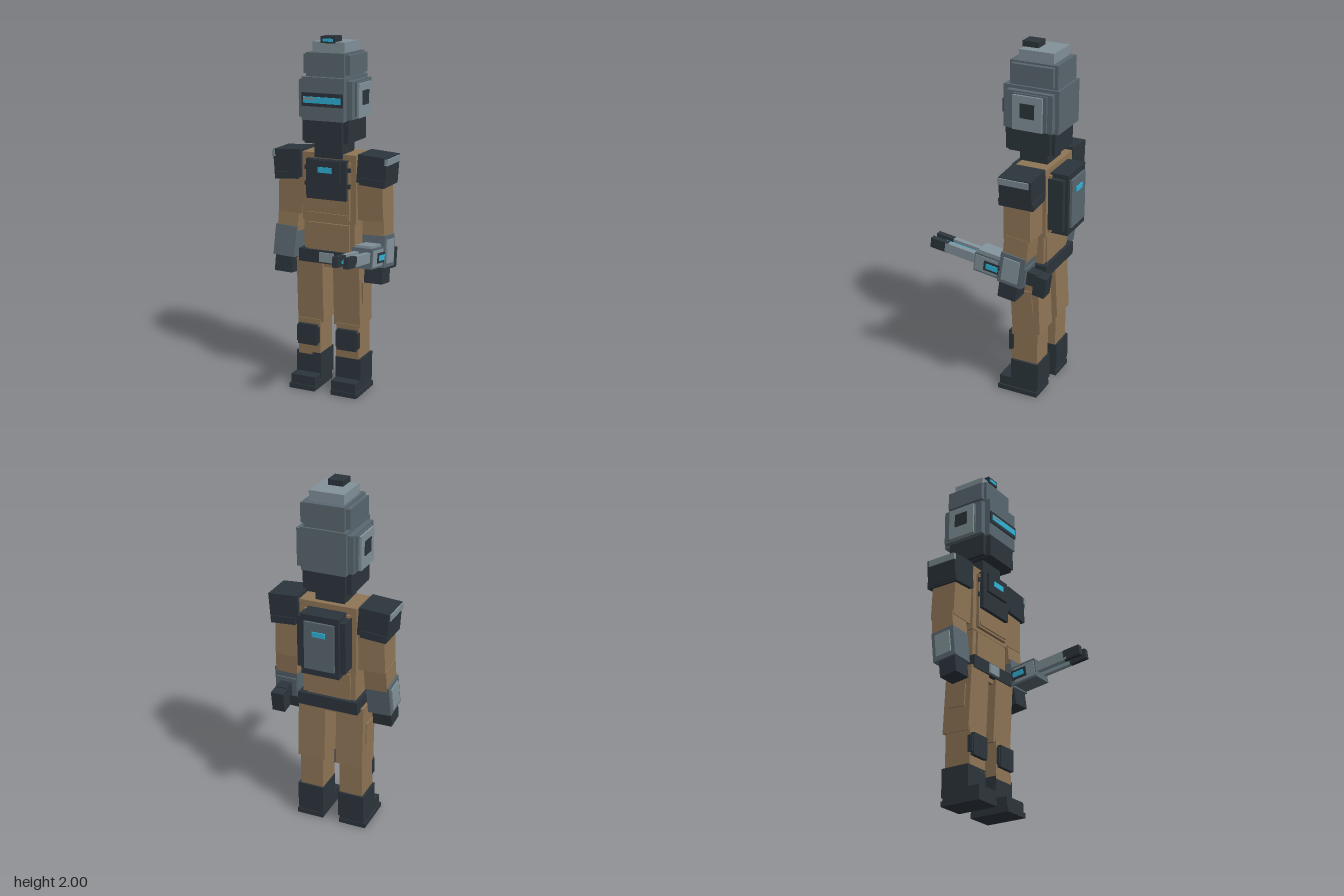
import * as THREE from 'three';

const mat = (name, color) => {
  const m = new THREE.MeshStandardMaterial({ color });
  m.name = name;
  return m;
};

export function createModel() {
  const cloth = mat('brown cloth', 0x8f7556);
  const dark = mat('dark armour', 0x2c353c);
  const grey = mat('grey armour', 0x59676f);
  const light = mat('light metal', 0x82929a);
  const glow = mat('cyan glow', 0x2fb4d8);

  const model = new THREE.Group();
  model.name = 'armouredSoldier';
  const group = (name, parent = model) => {
    const g = new THREE.Group();
    g.name = name;
    parent.add(g);
    return g;
  };
  // Box from its limits, with optional tilt about its own centre
  const box = (parent, name, m, [x0, x1], [y0, y1], [z0, z1], rx = 0, rz = 0) => {
    const mesh = new THREE.Mesh(new THREE.BoxGeometry(Math.abs(x1 - x0), y1 - y0, z1 - z0), m);
    mesh.position.set((x0 + x1) / 2, (y0 + y1) / 2, (z0 + z1) / 2);
    mesh.rotation.set(rx, 0, rz);
    mesh.name = name;
    parent.add(mesh);
    return mesh;
  };
  const mid = (parent, name, m, w, y, z) => box(parent, name, m, [-w, w], y, z);

  // Head and stepped helmet
  const head = group('head');
  mid(head, 'neck', dark, 0.083, [1.34, 1.45], [-0.22, -0.06]);
  mid(head, 'jawGuard', dark, 0.137, [1.435, 1.56], [-0.255, -0.02]);
  mid(head, 'jawFront', dark, 0.11, [1.43, 1.56], [-0.275, 0.01]);
  mid(head, 'helmetSides', grey, 0.157, [1.565, 1.77], [-0.278, -0.02]);
  mid(head, 'helmetCore', grey, 0.125, [1.555, 1.787], [-0.3, 0.014]);
  mid(head, 'helmetUpperSides', grey, 0.137, [1.80, 1.905], [-0.27, -0.035]);
  mid(head, 'helmetUpper', grey, 0.112, [1.78, 1.915], [-0.287, -0.018]);
  mid(head, 'helmetCap', light, 0.095, [1.91, 1.97], [-0.255, -0.06]);
  mid(head, 'sensor', dark, 0.042, [1.963, 2.0], [-0.143, -0.053]);
  mid(head, 'sensorLens', glow, 0.03, [1.972, 1.988], [-0.055, -0.048]);
  mid(head, 'visorFrame', dark, 0.122, [1.632, 1.705], [0.012, 0.021]);
  mid(head, 'visor', glow, 0.11, [1.65, 1.684], [0.019, 0.027]);
  box(head, 'visorGlint', light, [-0.108, -0.04], [1.668, 1.68], [0.024, 0.029]);
  for (const s of [-1, 1]) {
    box(head, 'earPlate', grey, [s * 0.15, s * 0.168], [1.575, 1.762], [-0.25, -0.06]);
    box(head, 'earPad', light, [s * 0.16, s * 0.18], [1.57, 1.755], [-0.23, -0.063]);
    box(head, 'earPort', dark, [s * 0.178, s * 0.184], [1.637, 1.715], [-0.188, -0.106]);
  }

  // Torso, belt and chest unit
  const torso = group('torso');
  mid(torso, 'chest', cloth, 0.162, [0.98, 1.365], [-0.25, -0.07]);
  mid(torso, 'chestFront', cloth, 0.13, [1.0, 1.325], [-0.262, -0.052]);
  mid(torso, 'pocketFlap', cloth, 0.12, [1.012, 1.034], [-0.06, -0.044]);
  mid(torso, 'abdomen', cloth, 0.153, [0.8, 0.985], [-0.235, -0.075]);
  mid(torso, 'abdomenFront', cloth, 0.125, [0.8, 0.972], [-0.243, -0.062]);
  mid(torso, 'hips', cloth, 0.15, [0.72, 0.8], [-0.235, -0.07]);
  mid(torso, 'belt', dark, 0.174, [0.745, 0.818], [-0.262, -0.045]);
  mid(torso, 'buckle', light, 0.044, [0.755, 0.809], [-0.046, -0.035]);
  mid(torso, 'chestPlate', dark, 0.12, [1.115, 1.337], [-0.06, -0.03]);
  mid(torso, 'chestUnit', dark, 0.088, [1.22, 1.335], [-0.032, -0.014]);
  mid(torso, 'chestLight', glow, 0.042, [1.267, 1.298], [-0.016, -0.009]);
  for (const s of [-1, 1]) for (const y of [1.195, 1.285])
    box(torso, 'strapStud', dark, [s * 0.12, s * 0.137], [y - 0.012, y + 0.012], [-0.056, -0.046]);

  // Backpack
  const pack = group('backpack');
  mid(pack, 'packBody', dark, 0.137, [1.02, 1.31], [-0.335, -0.25]);
  mid(pack, 'packCore', dark, 0.108, [0.99, 1.335], [-0.352, -0.25]);
  mid(pack, 'packPanel', grey, 0.085, [1.03, 1.3], [-0.365, -0.35]);
  mid(pack, 'packLight', glow, 0.037, [1.222, 1.25], [-0.371, -0.364]);

  // Arms and legs, mirrored
  for (const s of [-1, 1]) {
    const X = (a, b) => [s * a, s * b];
    const arm = group(s > 0 ? 'leftArm' : 'rightArm');
    box(arm, 'shoulderPad', dark, X(0.17, 0.338), [1.215, 1.37], [-0.25, -0.065], 0, -s * 0.07);
    box(arm, 'shoulderRim', dark, X(0.185, 0.33), [1.205, 1.245], [-0.256, -0.058], 0, -s * 0.07);
    box(arm, 'shoulderTrim', light, X(0.33, 0.349), [1.325, 1.36], [-0.237, -0.063], 0, -s * 0.07);
    box(arm, 'upperArm', cloth, X(0.167, 0.315), [1.01, 1.24], [-0.233, -0.08], 0.02, s * 0.03);
    box(arm, 'forearm', cloth, X(0.197, 0.323), [0.9, 1.025], [-0.222, -0.083], -0.08, s * 0.03);
    box(arm, 'gauntlet', grey, X(0.205, 0.337), [0.75, 0.925], [-0.205, -0.062], -0.13, s * 0.04);
    box(arm, 'gauntletPlate', light, X(0.333, 0.345), [0.775, 0.905], [-0.18, -0.085], -0.13, s * 0.04);
    box(arm, 'hand', dark, X(0.222, 0.33), [0.66, 0.76], [-0.16, -0.055], -0.13, s * 0.02);

    const leg = group(s > 0 ? 'leftLeg' : 'rightLeg');
    box(leg, 'thigh', cloth, X(0.033, 0.192), [0.395, 0.76], [-0.227, -0.06], 0.05);
    box(leg, 'thighPocket', cloth, X(0.185, 0.2), [0.53, 0.655], [-0.19, -0.09], 0.05);
    box(leg, 'shin', cloth, X(0.05, 0.187), [0.19, 0.405], [-0.219, -0.062]);
    box(leg, 'kneePad', dark, X(0.052, 0.19), [0.27, 0.362], [-0.075, -0.045]);
    box(leg, 'kneeCap', dark, X(0.062, 0.18), [0.255, 0.376], [-0.07, -0.04]);
    box(leg, 'bootShaft', dark, X(0.047, 0.2), [0.05, 0.205], [-0.23, -0.062]);
    box(leg, 'bootFoot', dark, X(0.05, 0.2), [0.02, 0.083], [-0.222, 0.008]);
    box(leg, 'bootSole', dark, X(0.05, 0.209), [0, 0.028], [-0.226, 0.015]);
  }

  // Twin-rail weapon in the left hand, muzzle raised
  const gun = group('weapon');
  gun.position.set(0.27, 0.83, -0.02);
  gun.rotation.x = -0.135;
  box(gun, 'receiver', grey, [-0.06, 0.06], [-0.055, 0.055], [-0.19, 0.11]);
  box(gun, 'receiverTop', light, [-0.045, 0.045], [0.045, 0.068], [-0.15, 0.1]);
  for (const s of [-1, 1]) {
    box(gun, 'sidePanel', light, [s * 0.058, s * 0.064], [-0.045, 0.045], [-0.03, 0.105]);
    box(gun, 'sideFrame', dark, [s * 0.062, s * 0.068], [-0.028, 0.028], [-0.045, 0.05]);
    box(gun, 'sideLight', glow, [s * 0.066, s * 0.072], [-0.015, 0.015], [-0.035, 0.035]);
    box(gun, 'rail', light, [s * 0.018, s * 0.047], [-0.02, 0.035], [0.1, 0.3]);
    box(gun, 'railTip', dark, [s * 0.017, s * 0.047], [-0.021, 0.036], [0.285, 0.388]);
  }
  box(gun, 'energyCore', glow, [-0.011, 0.011], [-0.005, 0.02], [0.1, 0.33]);
  box(gun, 'coreTip', glow, [-0.007, 0.007], [0, 0.014], [0.33, 0.356]);
  box(gun, 'stockNeck', dark, [-0.032, 0.032], [-0.045, 0.03], [-0.25, -0.18]);
  box(gun, 'stock', dark, [-0.037, 0.037], [-0.09, 0.025], [-0.305, -0.235]);
  box(gun, 'grip', dark, [-0.03, 0.03], [-0.15, -0.05], [-0.11, -0.05]);

  return model;
}
